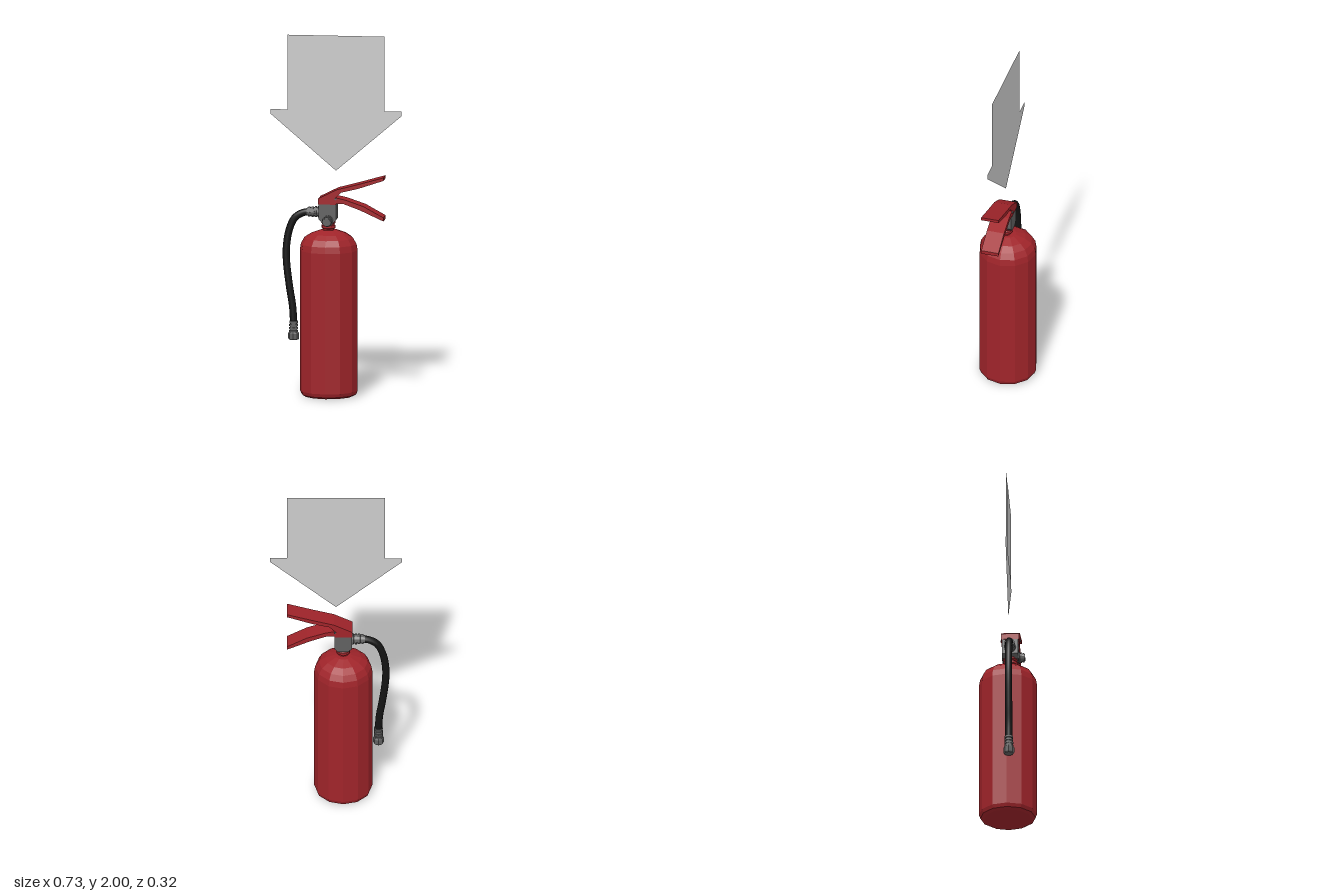
import * as THREE from 'three';

const mat = (color, extra = {}) => new THREE.MeshStandardMaterial({ color, ...extra });
const V2 = (p) => new THREE.Vector2(p[0], p[1]);

export function createModel() {
  const model = new THREE.Group();
  const red = mat(0xa0242a, { flatShading: true });
  const metal = mat(0x606060, { flatShading: true });
  const rubber = mat(0x141414);
  const sign = mat(0xcccccc, { side: THREE.DoubleSide });
  const CX = -0.04, CZ = 0.013; // tank axis in x, valve centre plane in z

  const add = (name, geometry, material, x = 0, y = 0, z = 0) => {
    const mesh = new THREE.Mesh(geometry, material);
    mesh.name = name;
    mesh.position.set(x, y, z);
    model.add(mesh);
    return mesh;
  };
  const lathe = (pts, sides) => new THREE.LatheGeometry(pts.map(V2), sides);
  // Side profile in x/y, extruded to a width centred on the valve plane
  const slab = (name, pts, width, material) =>
    add(name, new THREE.ExtrudeGeometry(new THREE.Shape(pts.map(V2)), { depth: width, bevelEnabled: false }),
      material, 0, 0, CZ - width / 2);
  // Ribbed sleeve: alternating wide and narrow steps, tapering from r0 to r1
  const ribbed = (length, r0, r1, ribs) => {
    const pts = [[0, 0]];
    for (let i = 0; i < ribs; i++) {
      const r = r0 + (r1 - r0) * i / Math.max(1, ribs - 1), a = length * i / ribs, s = length / ribs;
      pts.push([r, a], [r, a + s * 0.6], [r * 0.8, a + s * 0.65], [r * 0.8, a + s]);
    }
    pts.push([0, length]);
    return lathe(pts, 12);
  };

  // Tank with rounded foot and shoulders
  add('tank', lathe([[0, 0], [0.135, 0], [0.152, 0.01], [0.16, 0.03], [0.16, 0.81], [0.154, 0.845],
    [0.135, 0.878], [0.1, 0.902], [0.045, 0.922], [0, 0.925]], 12), red, CX, 0, 0);

  // Neck with threaded collar
  add('neck', lathe([[0.03, 0.905], [0.03, 0.93], [0.038, 0.935], [0.038, 0.95], [0.03, 0.955],
    [0.04, 0.962], [0.04, 0.972], [0, 0.975]], 12), red, CX, 0, CZ);

  // Valve block and front gauge
  slab('valveBlock', [[-0.065, 0.965], [-0.01, 0.965], [0.008, 0.985], [0.008, 1.085], [-0.088, 1.085], [-0.088, 0.985]],
    0.09, metal);
  add('gauge', ribbed(0.036, 0.032, 0.026, 3), metal, CX, 0.978, 0.058).rotation.x = Math.PI / 2;

  // Squeeze lever and carrying handle
  slab('upperLever', [[-0.09, 1.07], [0.008, 1.07], [0.004, 1.106], [0.035, 1.138], [0.13, 1.161], [0.27, 1.208],
    [0.27, 1.225], [0.13, 1.185], [0.01, 1.153], [-0.09, 1.103]], 0.1, red);
  slab('lowerHandle', [[0, 1.075], [0.05, 1.075], [0.14, 1.042], [0.27, 0.983],
    [0.27, 1.003], [0.16, 1.063], [0.06, 1.097], [0, 1.11]], 0.098, red);
  add('pivotPin', new THREE.CylinderGeometry(0.006, 0.006, 0.112, 8), metal, 0.006, 1.102, CZ)
    .rotation.x = Math.PI / 2;

  // Hose with sleeve at the valve and nozzle at the end
  add('hoseSleeve', ribbed(0.072, 0.032, 0.028, 4), metal, -0.086, 1.022, CZ).rotation.z = Math.PI / 2;
  const path = new THREE.CatmullRomCurve3([
    [-0.14, 1.022], [-0.18, 1.016], [-0.225, 0.988], [-0.257, 0.92], [-0.273, 0.82], [-0.272, 0.74],
    [-0.255, 0.6], [-0.238, 0.49], [-0.233, 0.4],
  ].map(([x, y]) => new THREE.Vector3(x, y, CZ)));
  add('hose', new THREE.TubeGeometry(path, 36, 0.02, 12), rubber);
  add('nozzleSleeve', ribbed(0.07, 0.025, 0.024, 4), metal, -0.233, 0.35, CZ);
  add('nozzle', lathe([[0, 0.31], [0.026, 0.31], [0.03, 0.316], [0.03, 0.345], [0.022, 0.358], [0, 0.358]], 8),
    metal, -0.233, 0, CZ);

  // Flat arrow sign with a panel on its front
  const half = [[0.268, 2], [0.268, 1.585], [0.363, 1.585], [0.363, 1.56]];
  const outline = [...half, [0, 1.25], ...half.map(([x, y]) => [-x, y]).reverse()];
  add('arrowSign', new THREE.ShapeGeometry(new THREE.Shape(outline.map(V2))), sign);
  add('signPanel', new THREE.PlaneGeometry(0.43, 0.43), sign, 0, 1.757, 0.004);

  return model;
}
